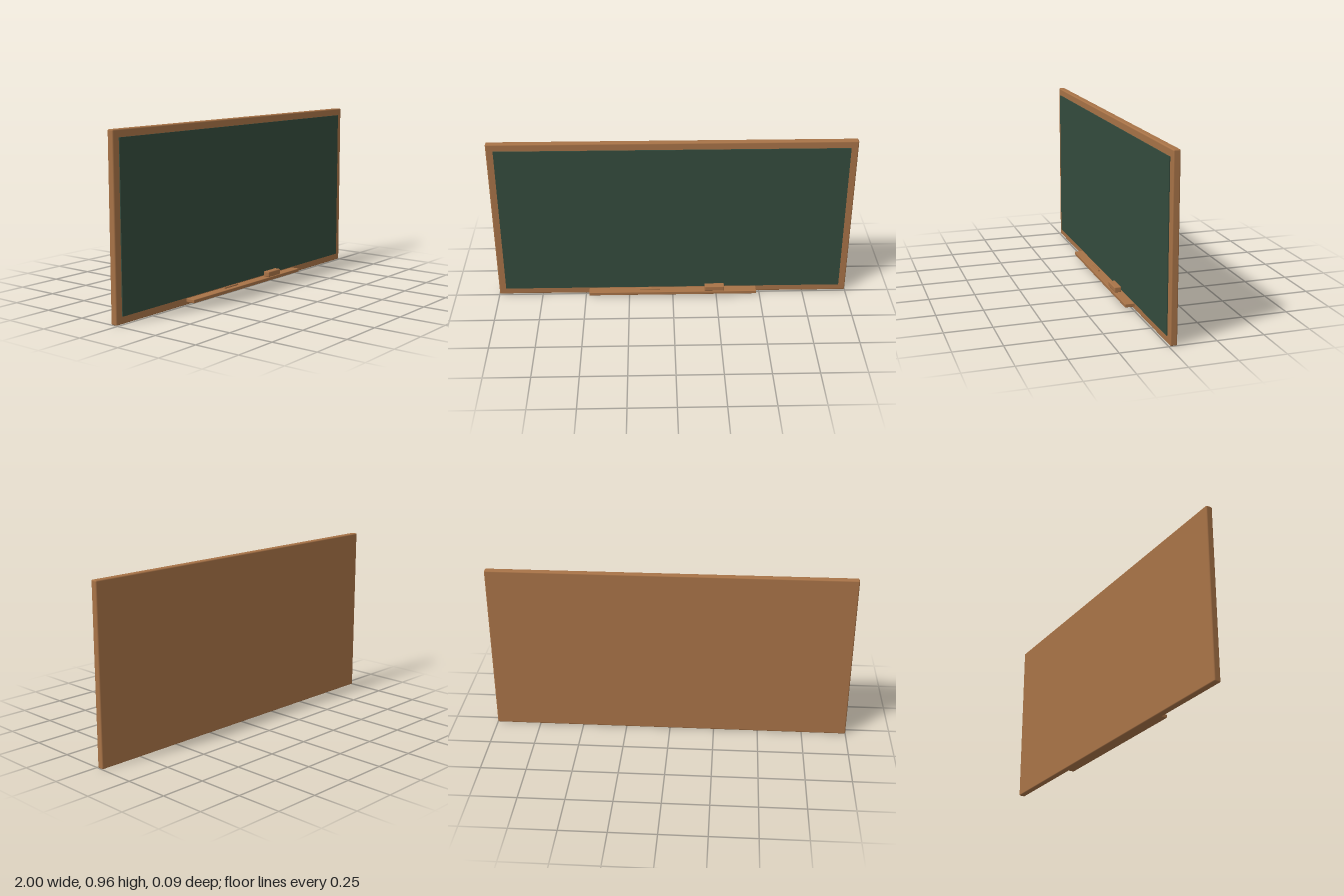
import * as THREE from 'three';
import { RoundedBoxGeometry } from 'three/addons/geometries/RoundedBoxGeometry.js';

export function createModel() {
  const group = new THREE.Group();
  const wood = new THREE.MeshStandardMaterial({ color: 0xa87347 });
  wood.name = 'wood';
  const slate = new THREE.MeshStandardMaterial({ color: 0x344b3d });
  slate.name = 'green slate';

  // Box given by its min and max corners, with an optional rounded edge
  function box(name, material, min, max, radius = 0) {
    const size = max.map((v, i) => v - min[i]);
    const geometry = radius
      ? new RoundedBoxGeometry(...size, 2, radius)
      : new THREE.BoxGeometry(...size);
    const mesh = new THREE.Mesh(geometry, material);
    mesh.name = name;
    mesh.position.set(...max.map((v, i) => (v + min[i]) / 2));
    group.add(mesh);
  }

  // Solid backing panel whose border shows as the frame
  box('frame', wood, [-1, 0, -0.044], [1, 0.96, -0.007], 0.007);
  // Writing surface, slightly proud of the frame
  box('writingSurface', slate, [-0.96, 0.04, -0.012], [0.96, 0.92, -0.002]);
  // Ledge and the things lying on it
  box('tray', wood, [-0.48, 0.016, -0.008], [0.48, 0.035, 0.045], 0.003);
  box('eraser', wood, [0.183, 0.034, 0.004], [0.295, 0.065, 0.042], 0.005);

  const chalk = new THREE.Mesh(new THREE.CylinderGeometry(0.005, 0.005, 0.115, 12), wood);
  chalk.name = 'chalk';
  chalk.rotation.z = Math.PI / 2;
  chalk.position.set(-0.132, 0.039, 0.016);
  group.add(chalk);

  return group;
}
